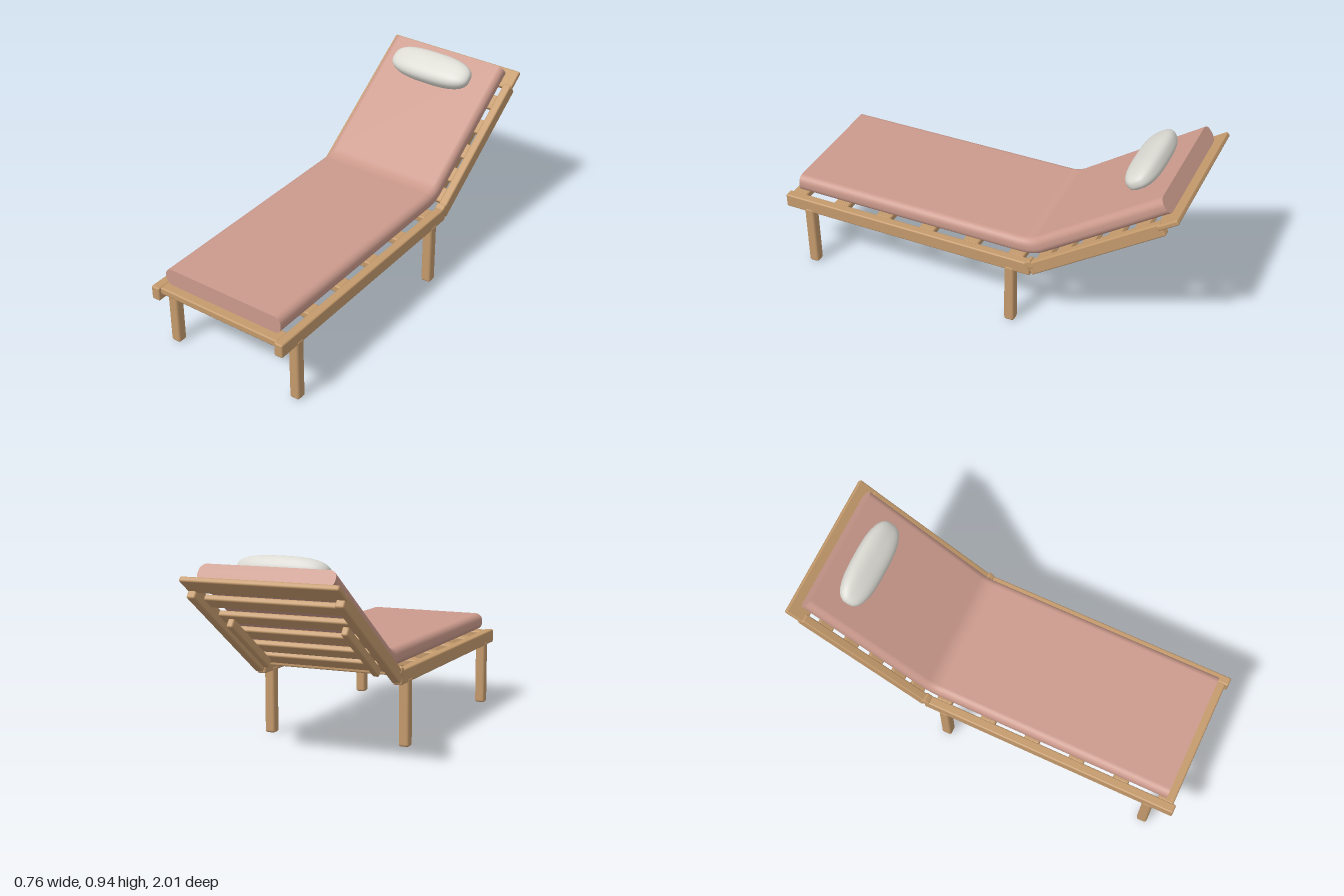
import * as THREE from 'three';
import { RoundedBoxGeometry } from 'three/addons/geometries/RoundedBoxGeometry.js';

const wood = new THREE.MeshStandardMaterial({ color: 0xc49a6c });
wood.name = 'wood';
const fabric = new THREE.MeshStandardMaterial({ color: 0xcb9a8c });
fabric.name = 'pink fabric';
const linen = new THREE.MeshStandardMaterial({ color: 0xdad9d2 });
linen.name = 'pale linen';

const TILT = 0.609; // slope of the backrest

// Rounded bar given by its min and max on each axis
function bar(parent, name, [x0, x1], [y0, y1], [z0, z1], r = 0.008) {
  const geo = new RoundedBoxGeometry(x1 - x0, y1 - y0, z1 - z0, 2, r);
  const mesh = new THREE.Mesh(geo, wood);
  mesh.position.set((x0 + x1) / 2, (y0 + y1) / 2, (z0 + z1) / 2);
  mesh.name = name;
  parent.add(mesh);
}

// The same bar on the left and right
function pair(parent, name, [x0, x1], y, z, r) {
  bar(parent, name + 'Left', [x0, x1], y, z, r);
  bar(parent, name + 'Right', [-x1, -x0], y, z, r);
}

// Rounded rectangle swept along the bent side profile
function cushionGeometry() {
  const hw = 0.328, hh = 0.043, r = 0.036, n = 6;
  const section = [];
  [[1, 1], [-1, 1], [-1, -1], [1, -1]].forEach(([sx, sy], q) => {
    for (let i = 0; i <= n; i++) {
      const a = (q + i / n) * Math.PI / 2;
      section.push([sx * (hw - r) + r * Math.cos(a), sy * (hh - r) + r * Math.sin(a)]);
    }
  });
  // stations: z, y, tilt
  const stations = [[0.945, 0.427, 0], [0.3, 0.427, 0], [-0.24, 0.427, 0]];
  const bend = new THREE.QuadraticBezierCurve(
    new THREE.Vector2(-0.25, 0.427), new THREE.Vector2(-0.305, 0.427), new THREE.Vector2(-0.35, 0.4585));
  for (let i = 0; i <= 8; i++) {
    const p = bend.getPoint(i / 8), t = bend.getTangent(i / 8);
    stations.push([p.x, p.y, Math.atan2(t.y, -t.x)]);
  }
  stations.push([-0.37, 0.4725, TILT], [-0.93, 0.865, TILT]);

  const pos = [], idx = [], m = section.length;
  const ring = ([z, y, a]) => {
    for (const [u, v] of section) pos.push(u, y + v * Math.cos(a), z + v * Math.sin(a));
  };
  stations.forEach(ring);
  for (let s = 0; s < stations.length - 1; s++) {
    for (let i = 0; i < m; i++) {
      const a = s * m + i, b = s * m + (i + 1) % m;
      idx.push(a, b, a + m, b, b + m, a + m);
    }
  }
  // Flat end caps with their own corners
  const caps = [stations[0], stations[stations.length - 1]];
  caps.forEach((st, c) => {
    const start = pos.length / 3;
    ring(st);
    for (let i = 1; i < m - 1; i++) {
      idx.push(start, start + (c ? i + 1 : i), start + (c ? i : i + 1));
    }
  });
  // Outward winding runs front to back along the sweep
  for (let i = 0; i < (stations.length - 1) * m * 6; i += 3) {
    [idx[i + 1], idx[i + 2]] = [idx[i + 2], idx[i + 1]];
  }
  const geo = new THREE.BufferGeometry();
  geo.setAttribute('position', new THREE.Float32BufferAttribute(pos, 3));
  geo.setIndex(idx);
  geo.computeVertexNormals();
  return geo;
}

// Sphere pushed out to a plump, boxy pillow
function pillowGeometry() {
  const geo = new THREE.SphereGeometry(1, 40, 28);
  const p = geo.attributes.position, v = new THREE.Vector3(), e = 2.8;
  for (let i = 0; i < p.count; i++) {
    v.fromBufferAttribute(p, i);
    const k = Math.pow(Math.abs(v.x) ** e + Math.abs(v.y) ** e + Math.abs(v.z) ** e, -1 / e);
    p.setXYZ(i, v.x * k * 0.225, v.y * k * 0.054, v.z * k * 0.084);
  }
  geo.computeVertexNormals();
  return geo;
}

export function createModel() {
  const model = new THREE.Group();
  model.name = 'sunLounger';

  // Bed frame
  const bed = new THREE.Group();
  bed.name = 'bedFrame';
  model.add(bed);
  pair(bed, 'sideRail', [0.33, 0.375], [0.31, 0.38], [-0.32, 1.0]);
  pair(bed, 'frontLeg', [0.326, 0.378], [0, 0.33], [0.845, 0.897], 0.012);
  pair(bed, 'rearLeg', [0.326, 0.378], [0, 0.33], [-0.241, -0.189], 0.012);
  for (let i = 0; i < 6; i++) {
    const z = 0.945 - i * 0.235;
    bar(bed, 'bedSlat' + (i + 1), [-0.335, 0.335], [0.342, 0.378], [z - 0.04, z + 0.04]);
  }

  // Tilted backrest frame, running along local -z
  const back = new THREE.Group();
  back.name = 'backFrame';
  back.position.set(0, 0.375, -0.3);
  back.rotation.x = TILT;
  model.add(back);
  pair(back, 'backRail', [0.333, 0.375], [-0.065, 0], [-0.756, 0.005]);
  pair(back, 'hingeBlock', [0.33, 0.378], [-0.03, 0.012], [-0.03, 0.005]);
  pair(back, 'supportBar', [0.265, 0.297], [-0.072, -0.028], [-0.5, -0.07]);
  bar(back, 'topSlat', [-0.378, 0.378], [-0.032, -0.006], [-0.845, -0.735]);
  [0.08, 0.2, 0.34, 0.49, 0.64].forEach((s, i) =>
    bar(back, 'backSlat' + (i + 1), [-0.337, 0.337], [-0.032, -0.004], [-s - 0.04, -s + 0.04]));

  // Soft parts
  const cushion = new THREE.Mesh(cushionGeometry(), fabric);
  cushion.name = 'cushion';
  const pillow = new THREE.Mesh(pillowGeometry(), linen);
  pillow.name = 'pillow';
  pillow.position.set(0, 0.864, -0.753);
  pillow.rotation.x = TILT;
  model.add(cushion, pillow);
  return model;
}
